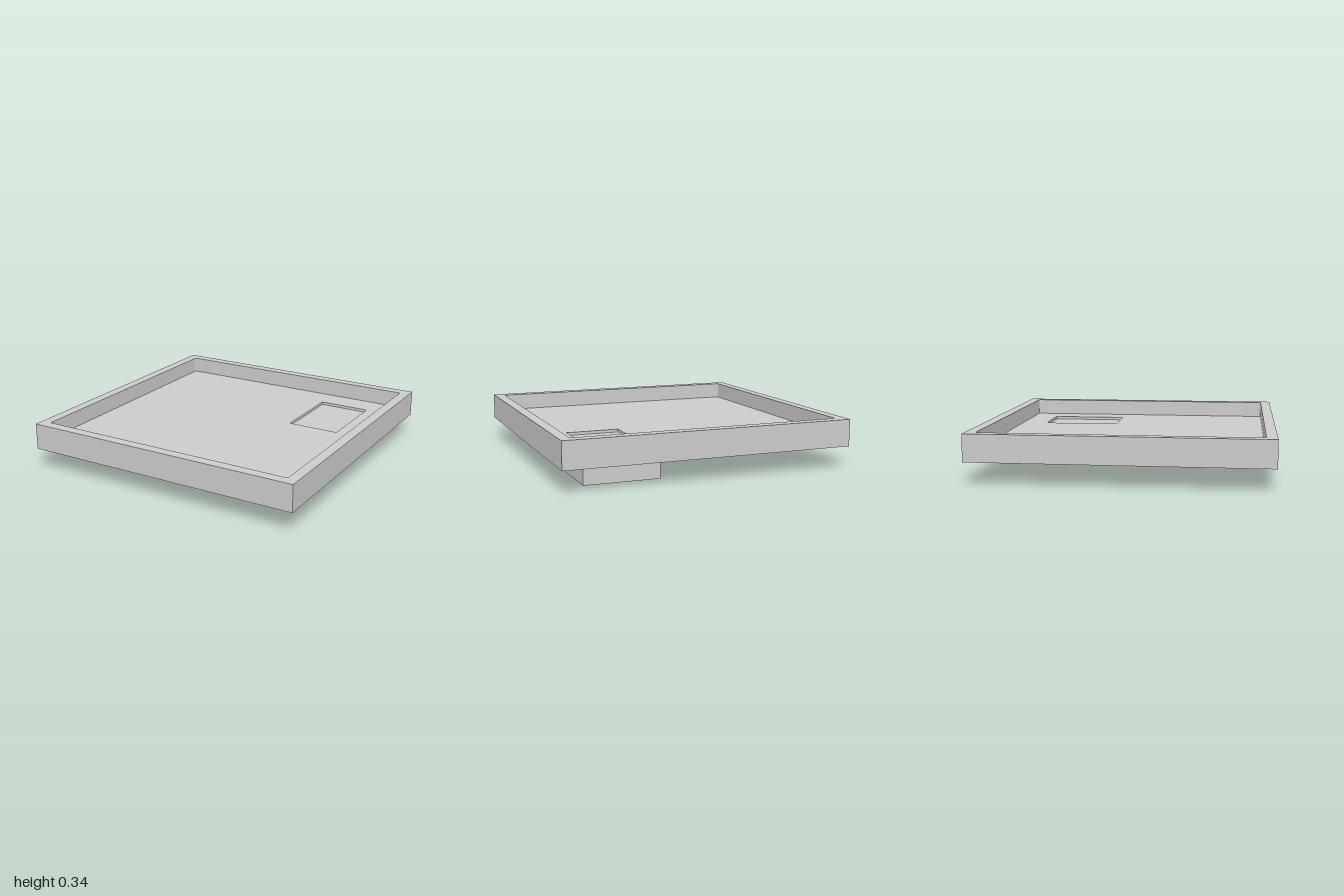
import * as THREE from 'three';

const material = new THREE.MeshStandardMaterial({ color: 0xcccccc });

// Traces a rectangle (optionally with rounded corners) in plan; plan y points to -z.
function rectangle(path, x0, z0, x1, z1, r = 0) {
  const [a, b] = [-z1, -z0];
  path.moveTo(x0 + r, a);
  path.lineTo(x1 - r, a);
  if (r) path.absarc(x1 - r, a + r, r, -Math.PI / 2, 0, false);
  path.lineTo(x1, b - r);
  if (r) path.absarc(x1 - r, b - r, r, 0, Math.PI / 2, false);
  path.lineTo(x0 + r, b);
  if (r) path.absarc(x0 + r, b - r, r, Math.PI / 2, Math.PI, false);
  path.lineTo(x0, a + r);
  if (r) path.absarc(x0 + r, a + r, r, Math.PI, Math.PI * 1.5, false);
  path.closePath();
  return path;
}

// Square layer of the tray between two heights, with an optional opening.
function layer(name, y0, y1, opening) {
  const shape = rectangle(new THREE.Shape(), -1, -1, 1, 1);
  if (opening) shape.holes.push(rectangle(new THREE.Path(), ...opening));
  const geometry = new THREE.ExtrudeGeometry(shape, {
    depth: y1 - y0, bevelEnabled: false, curveSegments: 6,
  });
  geometry.rotateX(-Math.PI / 2);
  geometry.translate(0, y0, 0);
  const mesh = new THREE.Mesh(geometry, material);
  mesh.name = name;
  return mesh;
}

export function createModel() {
  const group = new THREE.Group();
  group.name = 'tray';

  // Tray: solid base, floor with a shallow pocket, raised rim
  group.add(layer('base', 0.15, 0.2));
  group.add(layer('pocketedFloor', 0.2, 0.22, [0.37, -0.74, 0.74, -0.19]));
  group.add(layer('rim', 0.22, 0.335, [-0.928, -0.928, 0.928, 0.928, 0.012]));

  // Block beneath the pocket
  const block = new THREE.Mesh(new THREE.BoxGeometry(0.52, 0.15, 0.7), material);
  block.position.set(0.555, 0.075, -0.465);
  block.name = 'undersideBlock';
  group.add(block);

  return group;
}
